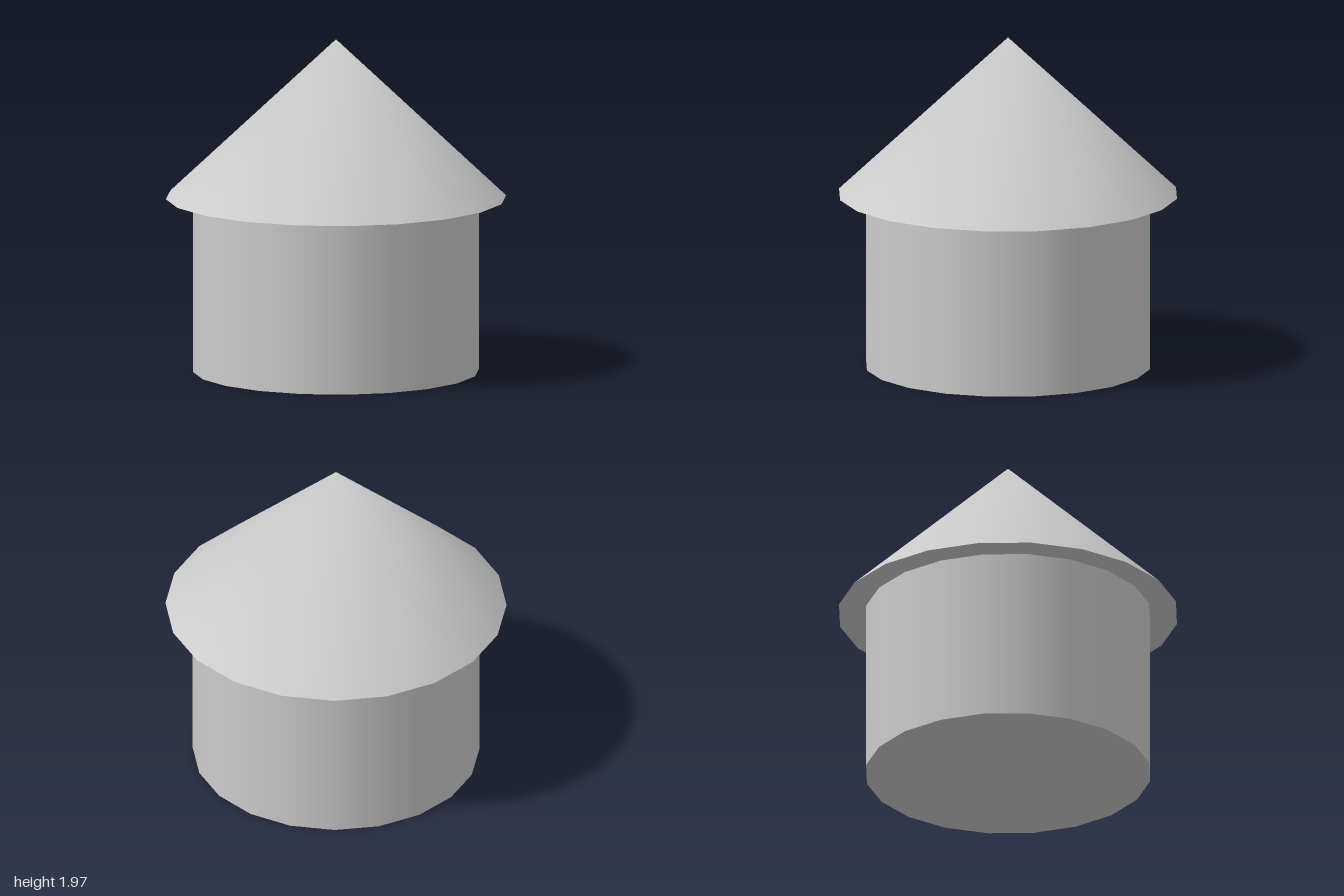
import * as THREE from 'three';

const SIDES = 20;
const WALL_HEIGHT = 1.03;
const ROOF_HEIGHT = 0.94;

export function createModel() {
  const group = new THREE.Group();
  group.name = 'roundHut';
  const material = new THREE.MeshStandardMaterial({ color: 0xcccccc });

  const addPart = (name, geometry, y) => {
    const mesh = new THREE.Mesh(geometry, material);
    mesh.name = name;
    mesh.position.y = y;
    group.add(mesh);
  };

  // Round wall, closed at the bottom
  addPart('wall', new THREE.CylinderGeometry(0.84, 0.84, WALL_HEIGHT, SIDES), WALL_HEIGHT / 2);

  // Overhanging conical roof; the tip normals point up so the shading blends across the tip
  const roof = new THREE.ConeGeometry(1, ROOF_HEIGHT, SIDES);
  for (let i = 0; i <= SIDES; i++) roof.attributes.normal.setXYZ(i, 0, 1, 0);
  addPart('roof', roof, WALL_HEIGHT + ROOF_HEIGHT / 2);

  return group;
}
